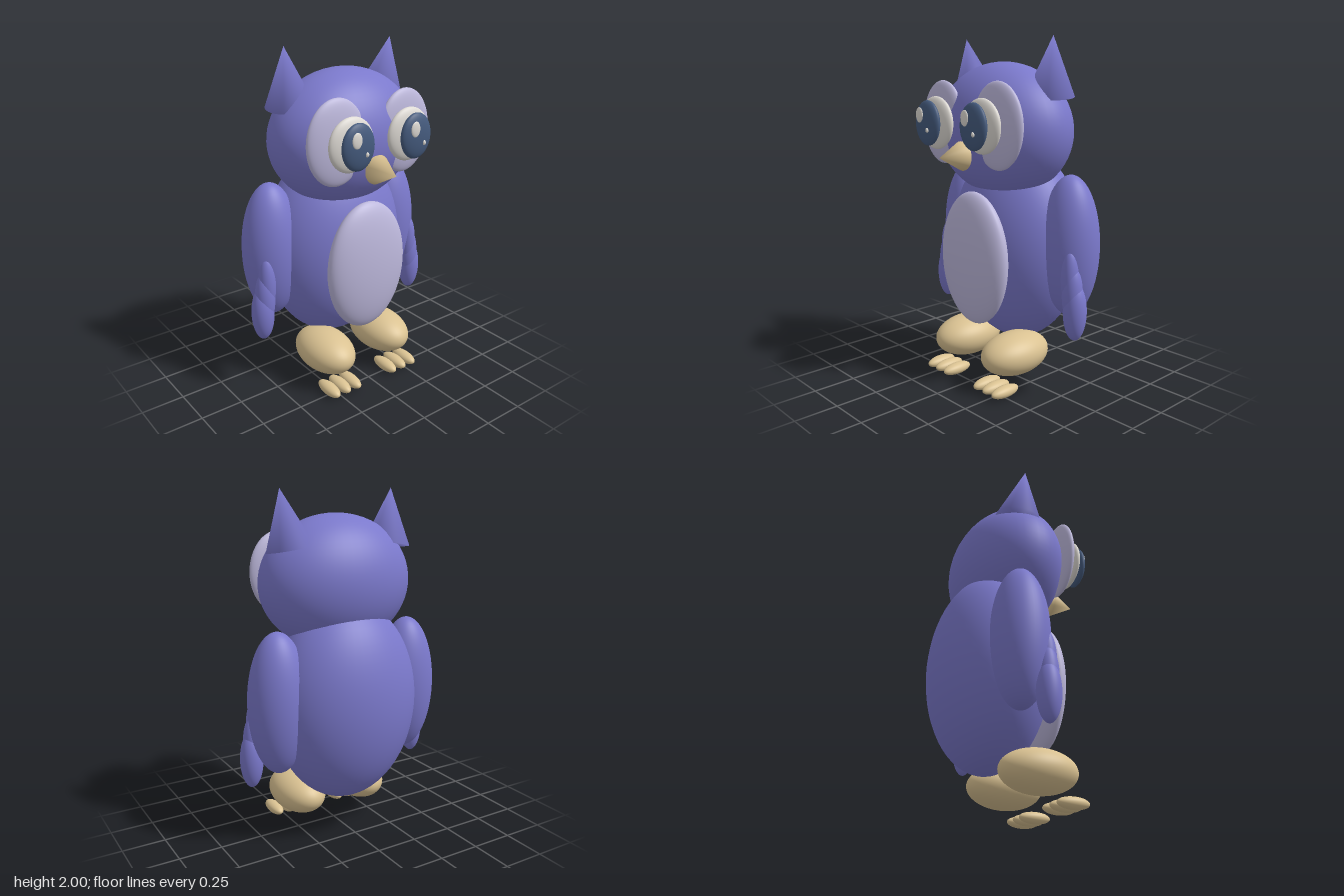
import * as THREE from 'three';
import { mergeVertices } from 'three/addons/utils/BufferGeometryUtils.js';

const flat = (name, color) => {
  const m = new THREE.MeshStandardMaterial({ color });
  m.name = name;
  return m;
};

export function createModel() {
  const owl = new THREE.Group();
  owl.name = 'owl';

  const purple = flat('purple feathers', 0x7b79cc);
  const lavender = flat('lavender down', 0xbdb8dc);
  const white = flat('eye white', 0xdedad4);
  const navy = flat('navy iris', 0x455b7e);
  const gold = flat('golden beak and feet', 0xdac292);

  const ball = new THREE.SphereGeometry(1, 48, 32);

  function add(name, geometry, material, pos) {
    const mesh = new THREE.Mesh(geometry, material);
    mesh.name = name;
    mesh.position.set(...pos);
    owl.add(mesh);
    return mesh;
  }
  function ellipsoid(name, material, pos, radii) {
    const mesh = add(name, ball, material, pos);
    mesh.scale.set(...radii);
    return mesh;
  }
  // Cone with normals blended across the tip and the base rim
  function softCone(radius, height) {
    let g = new THREE.ConeGeometry(radius, height, 48);
    g.deleteAttribute('normal');
    g.deleteAttribute('uv');
    g = mergeVertices(g, 1e-5);
    g.computeVertexNormals();
    return g;
  }

  // Body, belly and head
  ellipsoid('body', purple, [0, 0.8, -0.12], [0.445, 0.59, 0.335]);
  ellipsoid('belly', lavender, [0, 0.75, 0.215], [0.27, 0.39, 0.095]);
  ellipsoid('head', purple, [0, 1.48, -0.015], [0.465, 0.385, 0.32]);

  // Beak
  add('beak', softCone(0.083, 0.157), gold, [0, 1.35, 0.377]).rotation.x = Math.PI / 2;

  const earShape = softCone(0.135, 0.323);
  for (const s of [-1, 1]) {
    const side = s > 0 ? 'left' : 'right';

    // Ear tuft, leaning outward
    const ear = add(side + 'Ear', earShape, purple, [s * 0.337, 1.84, -0.057]);
    ear.rotation.set(0.09, 0, -s * 0.143);

    // Eye, layered from the face disc outward
    ellipsoid(side + 'EyePatch', lavender, [s * 0.232, 1.523, 0.242], [0.186, 0.238, 0.048])
      .rotation.y = s * 0.04;
    ellipsoid(side + 'EyeWhite', white, [s * 0.196, 1.524, 0.322], [0.145, 0.149, 0.041]);
    ellipsoid(side + 'Iris', navy, [s * 0.197, 1.525, 0.381], [0.104, 0.127, 0.035]);
    // Both eyes catch the light on the same side
    ellipsoid(side + 'BigGlint', white, [s * 0.197 - 0.032, 1.57, 0.415], [0.031, 0.043, 0.009]);
    ellipsoid(side + 'SmallGlint', white, [s * 0.197 + 0.034, 1.488, 0.413], [0.01, 0.014, 0.009]);

    // Wing with three feather tips stepping down and out
    ellipsoid(side + 'Wing', purple, [s * 0.433, 0.845, -0.125], [0.172, 0.405, 0.16]);
    for (let i = 0; i < 3; i++) {
      ellipsoid(side + 'WingTip' + (i + 1), purple,
        [s * (0.53 + 0.015 * i), 0.695 - 0.0925 * i, -0.02 - 0.006 * i],
        [0.05 + 0.008 * i, 0.165, 0.05 + 0.008 * i]);
    }

    // Foot and toes
    ellipsoid(side + 'Foot', gold, [s * 0.21, 0.202, 0.088], [0.152, 0.123, 0.228]);
    for (let i = -1; i <= 1; i++) {
      ellipsoid(side + 'Toe' + (i + 2), gold,
        [s * 0.215 + i * 0.077, 0.036, 0.243], [0.04, 0.034, 0.097]);
    }
  }
  return owl;
}
